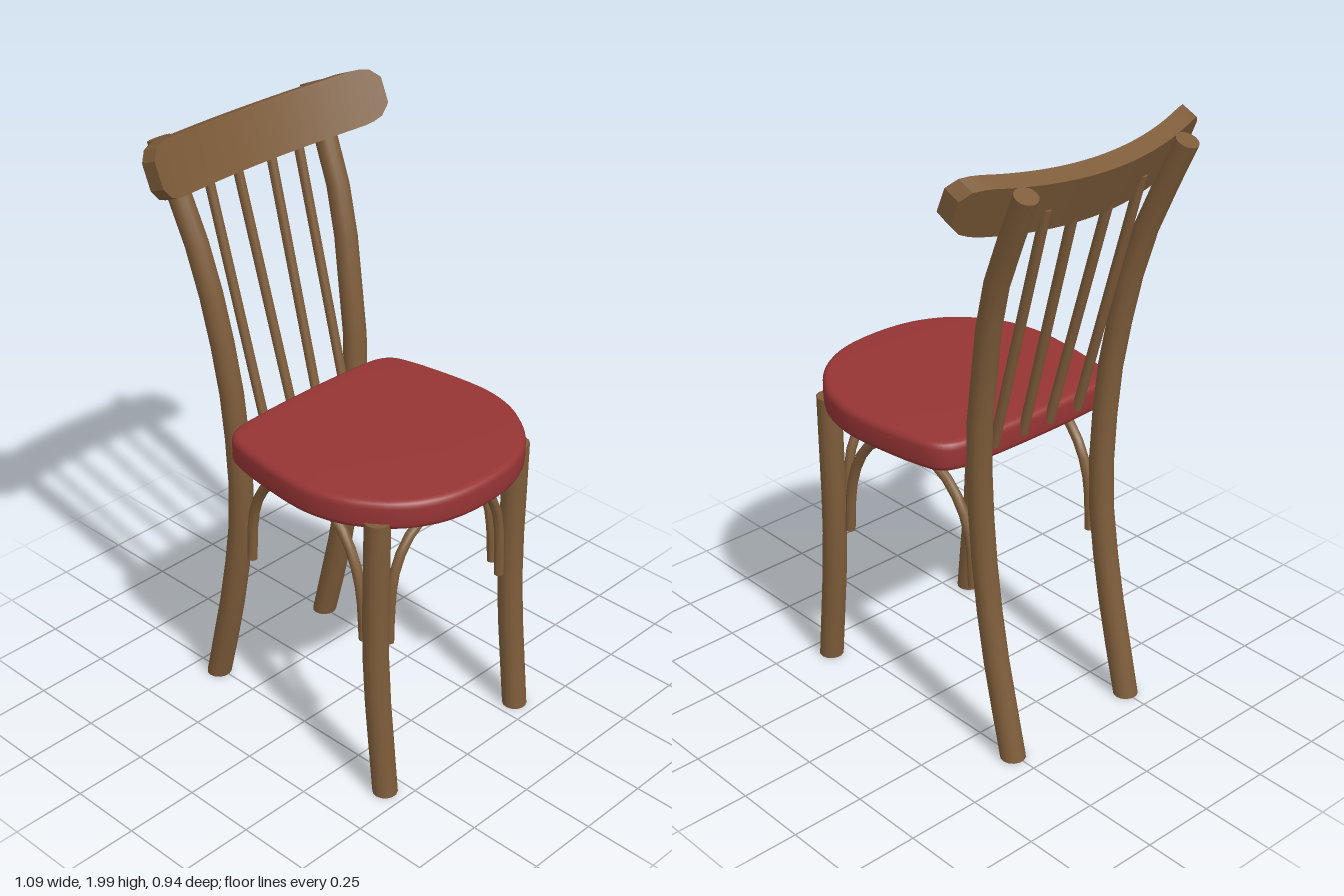
import * as THREE from 'three';
import { toCreasedNormals } from 'three/addons/utils/BufferGeometryUtils.js';

const wood = new THREE.MeshStandardMaterial({ color: 0x7d5c3a });
const fabric = new THREE.MeshStandardMaterial({ color: 0x963434 });
const V = (x, y, z) => new THREE.Vector3(x, y, z);

function addMesh(parent, name, geometry, material) {
  const mesh = new THREE.Mesh(geometry, material);
  mesh.name = name;
  parent.add(mesh);
  return mesh;
}

// Capped round rod that follows a curve; a foot end is cut flat on the ground.
function rod(points, radiusStart, radiusEnd, segments, axis, foot = false) {
  const curve = new THREE.CatmullRomCurve3(points);
  const geo = new THREE.CylinderGeometry(radiusEnd, radiusStart, 1, 14, segments);
  const pos = geo.attributes.position;
  for (let i = 0; i < pos.count; i++) {
    const t = THREE.MathUtils.clamp(pos.getY(i) + 0.5, 0, 1);
    const tangent = curve.getTangentAt(t);
    const n = tangent.clone().cross(axis).normalize();
    const b = n.clone().cross(tangent);
    const p = curve.getPointAt(t).addScaledVector(n, pos.getX(i)).addScaledVector(b, pos.getZ(i));
    if (foot && t < 0.001) p.y = 0;
    pos.setXYZ(i, p.x, p.y, p.z);
  }
  return toCreasedNormals(geo, 0.7);
}

// Cushioned seat: rounded outline, narrower at the back, with soft edges.
function seatGeometry() {
  const half = [
    [0.53, 0.135], [0.49, 0.23], [0.44, 0.295], [0.385, 0.34], [0.31, 0.385], [0.22, 0.411],
    [0.14, 0.417], [0, 0.405], [-0.11, 0.387], [-0.18, 0.365], [-0.217, 0.32], [-0.232, 0.2],
  ];
  const outline = [[0.545, 0], ...half, [-0.237, 0], ...half.slice().reverse().map(([x, z]) => [x, -z])];
  const curve = new THREE.CatmullRomCurve3(outline.map(([x, z]) => V(x, z, 0)), true);
  const shape = new THREE.Shape(curve.getPoints(72).slice(0, -1).map((p) => new THREE.Vector2(p.x, p.y)));
  const bevel = 0.022;
  const geo = new THREE.ExtrudeGeometry(shape, {
    depth: 0.097 - 2 * bevel, bevelThickness: bevel, bevelSize: bevel, bevelOffset: -bevel, bevelSegments: 4,
  });
  geo.rotateX(-Math.PI / 2).translate(0, 0.975 + bevel, 0);
  return toCreasedNormals(geo, 0.7);
}

// Top rail: a slab bent forward at its ends, with rounded ends, leaning back.
function railGeometry() {
  const length = 0.94;
  const geo = new THREE.BoxGeometry(0.062, 0.175, length, 1, 1, 32);
  const pos = geo.attributes.position;
  for (let i = 0; i < pos.count; i++) {
    const z = pos.getZ(i);
    const e = Math.max(0, (Math.abs(z) - 0.375) / (length / 2 - 0.375));
    const taper = 1 - 0.52 * (1 - Math.sqrt(Math.max(0, 1 - e * e)));
    pos.setXYZ(i, pos.getX(i) + 0.46 * z * z, pos.getY(i) * taper, z);
  }
  geo.rotateZ(0.4).translate(-0.458, 1.873, 0);
  return toCreasedNormals(geo, 0.5);
}

export function createModel() {
  const chair = new THREE.Group();
  chair.name = 'chair';
  const X = V(1, 0, 0), Z = V(0, 0, 1);

  addMesh(chair, 'seat', seatGeometry(), fabric);
  addMesh(chair, 'topRail', railGeometry(), wood);

  for (const s of [1, -1]) {
    const side = s > 0 ? 'Left' : 'Right';

    // Rear leg and back post in one bent piece
    const rear = [
      V(-0.41, 0, 0.255 * s), V(-0.32, 0.38, 0.255 * s), V(-0.27, 0.72, 0.255 * s),
      V(-0.272, 1.1, 0.272 * s), V(-0.3, 1.3, 0.28 * s), V(-0.365, 1.6, 0.3 * s), V(-0.511, 1.945, 0.318 * s),
    ];
    addMesh(chair, 'rearLeg' + side, rod(rear, 0.042, 0.037, 12, Z, true), wood);

    // Front leg
    const front = [V(0.43, 0, 0.315 * s), V(0.387, 0.48, 0.315 * s), V(0.39, 1.0, 0.315 * s)];
    addMesh(chair, 'frontLeg' + side, rod(front, 0.041, 0.041, 6, Z, true), wood);

    // Side arch between front and rear leg
    const arch = [
      [-0.225, 0.55], [-0.217, 0.68], [-0.195, 0.775], [-0.14, 0.865], [-0.07, 0.92], [0.055, 0.945],
      [0.18, 0.912], [0.255, 0.835], [0.305, 0.71], [0.322, 0.53],
    ].map(([x, y]) => V(x, y, s * (0.255 + 0.045 * (x + 0.225) / 0.547)));
    addMesh(chair, 'sideArch' + side, rod(arch, 0.017, 0.017, 18, Z), wood);

    // Two back spindles on each side of the middle
    [[0.055, 0.072], [0.176, 0.19]].forEach(([low, high], i) => {
      const path = [V(-0.232, 1.02, low * s), V(-0.458, 1.86, high * s)];
      addMesh(chair, 'spindle' + side + (i + 1), rod(path, 0.016, 0.016, 1, Z), wood);
    });
  }

  // Front arch between the front legs
  const halfArch = [[0.257, 0.53], [0.253, 0.65], [0.235, 0.775], [0.185, 0.865], [0.095, 0.925]];
  const frontArch = [
    ...halfArch.map(([z, y]) => V(0.387, y, z)), V(0.387, 0.942, 0),
    ...halfArch.slice().reverse().map(([z, y]) => V(0.387, y, -z)),
  ];
  addMesh(chair, 'frontArch', rod(frontArch, 0.016, 0.016, 18, X), wood);

  return chair;
}
